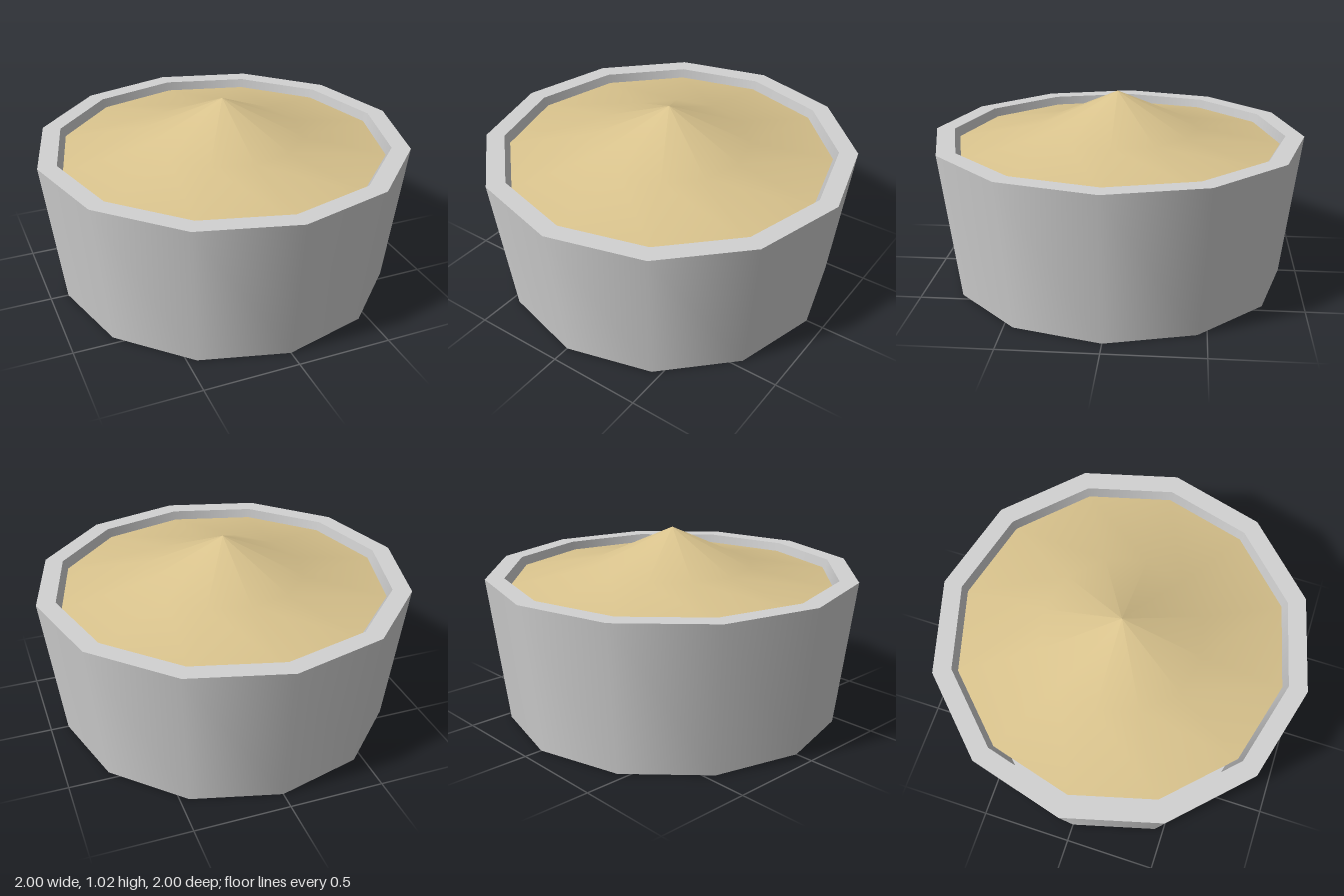
import * as THREE from 'three';

const SIDES = 12;

export function createModel() {
  const model = new THREE.Group();
  model.name = 'filledTub';

  const stone = new THREE.MeshStandardMaterial({ color: 0xd2d2d2 });
  stone.name = 'light grey';
  const sand = new THREE.MeshStandardMaterial({ color: 0xd9c38d });
  sand.name = 'sand';

  // Each profile is [radius, height] pairs; separate bands keep edges sharp
  const band = (name, material, profile, parent) => {
    const points = profile.map(([r, y]) => new THREE.Vector2(r, y));
    const mesh = new THREE.Mesh(new THREE.LatheGeometry(points, SIDES), material);
    mesh.name = name;
    parent.add(mesh);
  };

  // Twelve-sided tapered tub
  const tub = new THREE.Group();
  tub.name = 'tub';
  model.add(tub);
  band('base', stone, [[0, 0], [0.905, 0]], tub);
  band('outerWall', stone, [[0.905, 0], [1, 0.785]], tub);
  band('rim', stone, [[1, 0.785], [0.9, 0.785]], tub);
  band('innerWall', stone, [[0.9, 0.785], [0.82, 0.1]], tub);
  band('floor', stone, [[0.82, 0.1], [0, 0.1]], tub);

  // Heaped contents, softly shaded, peaking above the rim
  band('mound', sand, [[0.873, 0.742], [0.435, 0.82], [0, 1.017]], model);

  return model;
}
